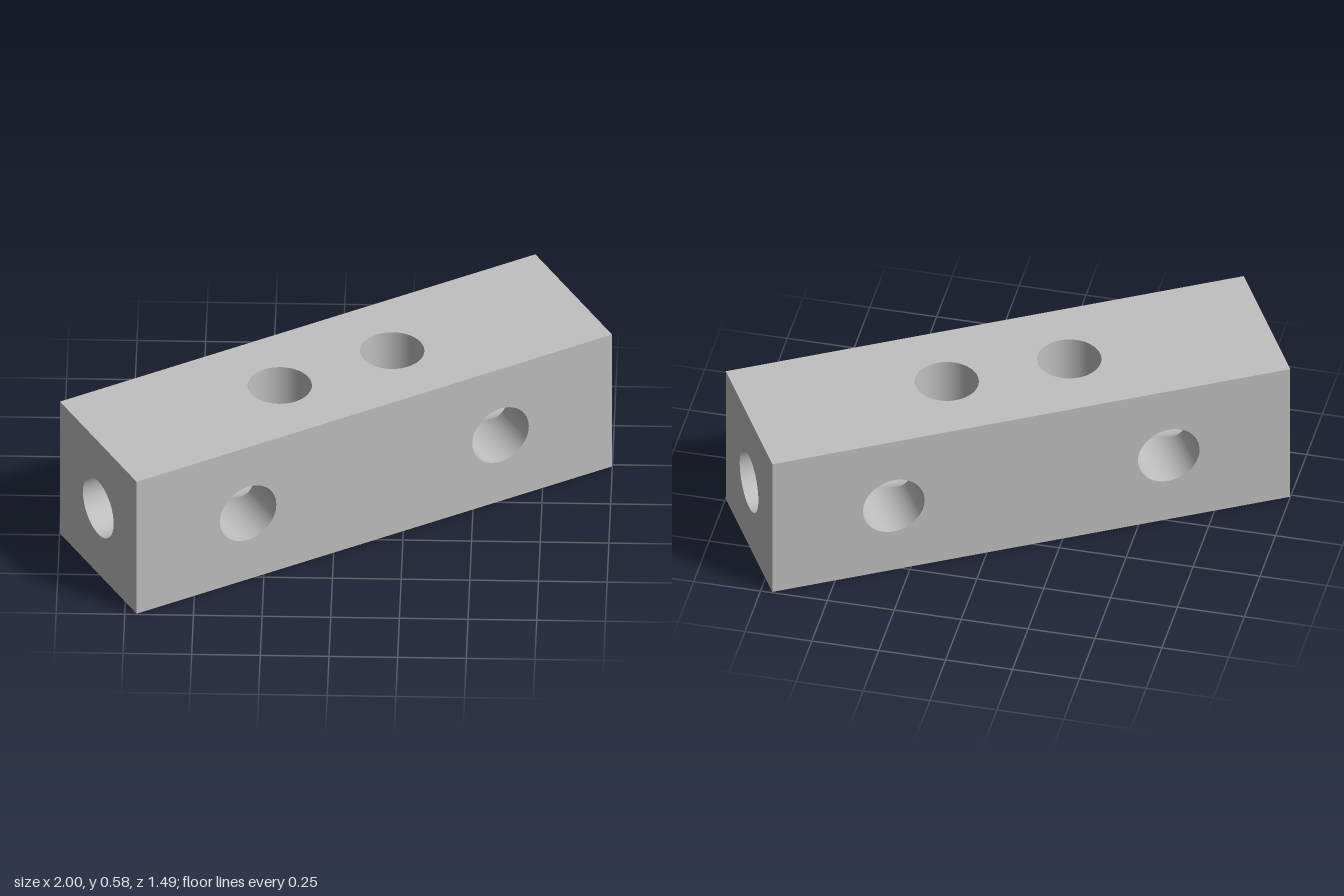
import * as THREE from 'three';
import { mergeGeometries } from 'three/addons/utils/BufferGeometryUtils.js';

const L = 1.97, W = 0.584, H = 0.584; // bar length, depth, height
const R = 0.117;                      // radius of every bore
const SIDE = 0.523, TOP = 0.233;      // bore offsets along the bar
const SEG = 64;

// Flat face with round holes at the given x positions, facing +z
function plate(w, h, holes, offset) {
  const s = new THREE.Shape([
    new THREE.Vector2(-w / 2, -h / 2), new THREE.Vector2(w / 2, -h / 2),
    new THREE.Vector2(w / 2, h / 2), new THREE.Vector2(-w / 2, h / 2)]);
  for (const x of holes) {
    const p = new THREE.Path();
    p.absarc(x, 0, R, 0, Math.PI * 2, true);
    s.holes.push(p);
  }
  return new THREE.ShapeGeometry(s, SEG / 2).translate(0, 0, offset);
}

// Inward-facing bore wall along x, its ends trimmed by from(angle) and to(angle)
function boreWall(from, to) {
  const pos = [], nor = [], uv = [], idx = [];
  for (let i = 0; i <= SEG; i++) {
    const a = (i / SEG) * Math.PI * 2, s = Math.sin(a), c = Math.cos(a);
    [from(a), to(a)].forEach((t, k) => {
      pos.push(t, R * s, R * c);
      nor.push(0, -s, -c);
      uv.push(i / SEG, k);
    });
    if (i < SEG) {
      const n = i * 2;
      idx.push(n, n + 2, n + 1, n + 2, n + 3, n + 1);
    }
  }
  const g = new THREE.BufferGeometry();
  g.setAttribute('position', new THREE.Float32BufferAttribute(pos, 3));
  g.setAttribute('normal', new THREE.Float32BufferAttribute(nor, 3));
  g.setAttribute('uv', new THREE.Float32BufferAttribute(uv, 2));
  g.setIndex(idx);
  return g;
}

export function createModel() {
  const metal = new THREE.MeshStandardMaterial({ color: 0xc0c0c0 });
  metal.name = 'plain grey';
  const model = new THREE.Group();
  model.name = 'drilledBar';
  const add = (name, parts) => {
    const m = new THREE.Mesh(mergeGeometries(parts), metal);
    m.name = name;
    model.add(m);
  };

  // Outer faces
  const side = () => plate(L, H, [-SIDE, SIDE], W / 2);
  const lid = () => plate(L, W, [-TOP, TOP], H / 2);
  const end = () => plate(W, H, [0], L / 2);
  add('longSides', [side(), side().rotateY(Math.PI)]);
  add('topAndBottom', [lid().rotateX(-Math.PI / 2), lid().rotateX(Math.PI / 2)]);
  add('ends', [end().rotateY(Math.PI / 2), end().rotateY(-Math.PI / 2)]);

  // Equal bores meet along these mitred curves
  const cosCut = a => R * Math.abs(Math.cos(a));
  const sinCut = a => R * Math.abs(Math.sin(a));

  // Lengthwise bore, interrupted where the other bores cross it
  add('lengthwiseBore', [
    boreWall(() => -L / 2, a => -SIDE - cosCut(a)),
    boreWall(a => -SIDE + cosCut(a), a => -TOP - sinCut(a)),
    boreWall(a => -TOP + sinCut(a), a => TOP - sinCut(a)),
    boreWall(a => TOP + sinCut(a), a => SIDE - cosCut(a)),
    boreWall(a => SIDE + cosCut(a), () => L / 2),
  ]);

  // Horizontal cross bores and vertical bores, each in two halves
  const cross = [], vertical = [];
  for (const e of [-1, 1]) {
    for (const d of [-1, 1]) {
      cross.push(boreWall(cosCut, () => W / 2)
        .rotateY(d * Math.PI / 2).translate(e * SIDE, 0, 0));
      vertical.push(boreWall(sinCut, () => H / 2)
        .rotateZ(d * Math.PI / 2).translate(e * TOP, 0, 0));
    }
  }
  add('crossBores', cross);
  add('verticalBores', vertical);

  // Stand on the ground, turned about the vertical
  model.rotation.y = Math.PI / 6;
  model.position.y = H / 2;
  const root = new THREE.Group();
  root.name = 'model';
  root.add(model);
  return root;
}
